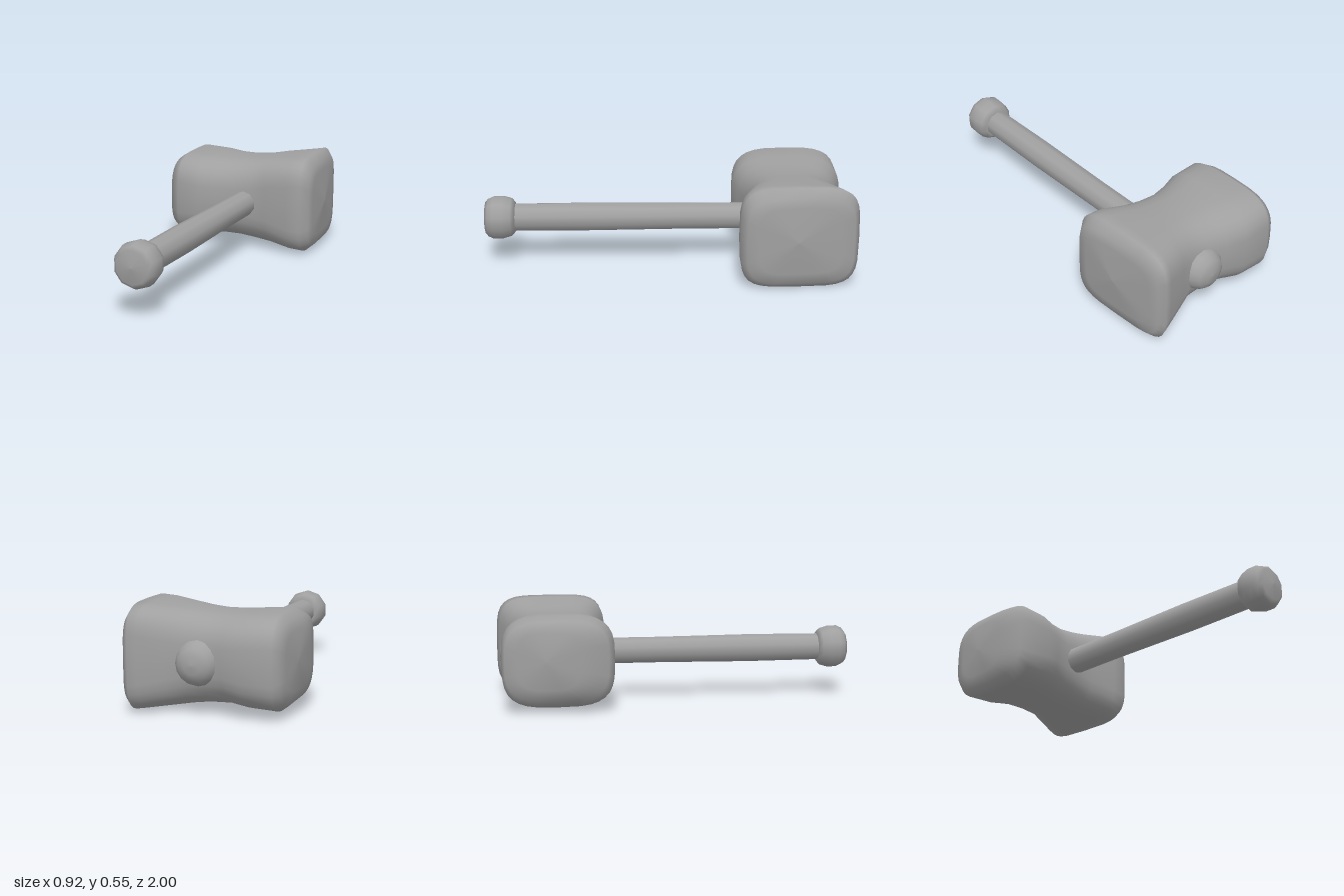
import * as THREE from 'three';

const steel = new THREE.MeshStandardMaterial({ color: 0xa0a0a0 });
steel.name = 'plain grey';

// Head sections: back x, back z, front x, front z, bottom y, top y, squareness
const SECTIONS = [
  [-0.45, -0.62, -0.45, -0.62, 0.28, 0.28, 3.2],
  [-0.458, -0.77, -0.425, -0.44, 0.13, 0.43, 3.2],
  [-0.452, -0.835, -0.37, -0.30, 0.07, 0.485, 3.4],
  [-0.42, -0.855, -0.31, -0.275, 0.03, 0.515, 3.4],
  [-0.26, -0.885, -0.18, -0.29, 0.037, 0.508, 3.1],
  [-0.15, -0.865, -0.10, -0.33, 0.045, 0.503, 2.8],
  [-0.04, -0.86, 0.0, -0.37, 0.04, 0.503, 2.8],
  [0.06, -0.87, 0.10, -0.39, 0.03, 0.512, 3.0],
  [0.14, -0.915, 0.19, -0.40, 0.02, 0.525, 3.4],
  [0.26, -0.98, 0.34, -0.385, 0.005, 0.54, 4.2],
  [0.30, -1.0, 0.42, -0.40, 0.0, 0.546, 4.4],
  [0.335, -0.98, 0.458, -0.44, 0.035, 0.50, 4.4],
  [0.355, -0.92, 0.455, -0.50, 0.09, 0.45, 4.2],
  [0.425, -0.70, 0.425, -0.70, 0.27, 0.27, 4],
];

// Loft of superellipse sections, collapsed to a point at both ends
function headGeometry(sides = 32) {
  const pos = [], index = [];
  SECTIONS.forEach(([bx, bz, fx, fz, lo, hi, n], i) => {
    for (let j = 0; j < sides; j++) {
      const a = (j / sides) * Math.PI * 2;
      const c = Math.cos(a), s = Math.sin(a);
      const u = Math.sign(c) * Math.abs(c) ** (2 / n);
      const v = Math.sign(s) * Math.abs(s) ** (2 / n);
      pos.push(
        (bx + fx) / 2 + ((fx - bx) / 2) * u,
        (lo + hi) / 2 + ((hi - lo) / 2) * v,
        (bz + fz) / 2 + ((fz - bz) / 2) * u
      );
      if (i < SECTIONS.length - 1) {
        const k = (j + 1) % sides;
        const p = i * sides + j, q = i * sides + k;
        index.push(p, p + sides, q, q, p + sides, q + sides);
      }
    }
  });
  const geo = new THREE.BufferGeometry();
  geo.setAttribute('position', new THREE.Float32BufferAttribute(pos, 3));
  geo.setIndex(index);
  geo.computeVertexNormals();
  return geo;
}

// Turned part whose axis runs forward along z; profile is [radius, distance]
function turned(name, profile, sides) {
  const geo = new THREE.LatheGeometry(profile.map(([r, t]) => new THREE.Vector2(r, t)), sides);
  geo.rotateX(Math.PI / 2);
  const mesh = new THREE.Mesh(geo, steel);
  mesh.name = name;
  return mesh;
}

export function createModel() {
  const model = new THREE.Group();
  model.name = 'hammer';

  const head = new THREE.Mesh(headGeometry(), steel);
  head.name = 'head';
  model.add(head);

  // Everything on the shaft shares one slanted axis, starting inside the head
  const shaft = new THREE.Group();
  shaft.name = 'shaft';
  shaft.position.set(0.037, 0.265, -0.55);
  shaft.rotation.y = Math.atan(0.168);
  model.add(shaft);

  shaft.add(turned('handle', [[0.072, 0], [0.072, 0.5], [0.077, 1.0], [0.074, 1.43]], 10));

  // Rounded knob at the grip end
  const knob = turned('pommel', [
    [0, -0.088], [0.08, -0.085], [0.105, -0.065], [0.118, -0.02],
    [0.118, 0.03], [0.105, 0.058], [0.085, 0.074], [0, 0.084],
  ], 10);
  knob.position.z = 1.48;
  shaft.add(knob);

  // Domed shaft end showing through the back of the head
  const boss = turned('shaftEnd', [
    [0, -0.385], [0.045, -0.38], [0.08, -0.365], [0.105, -0.335], [0.12, -0.29],
  ], 16);
  shaft.add(boss);

  return model;
}
